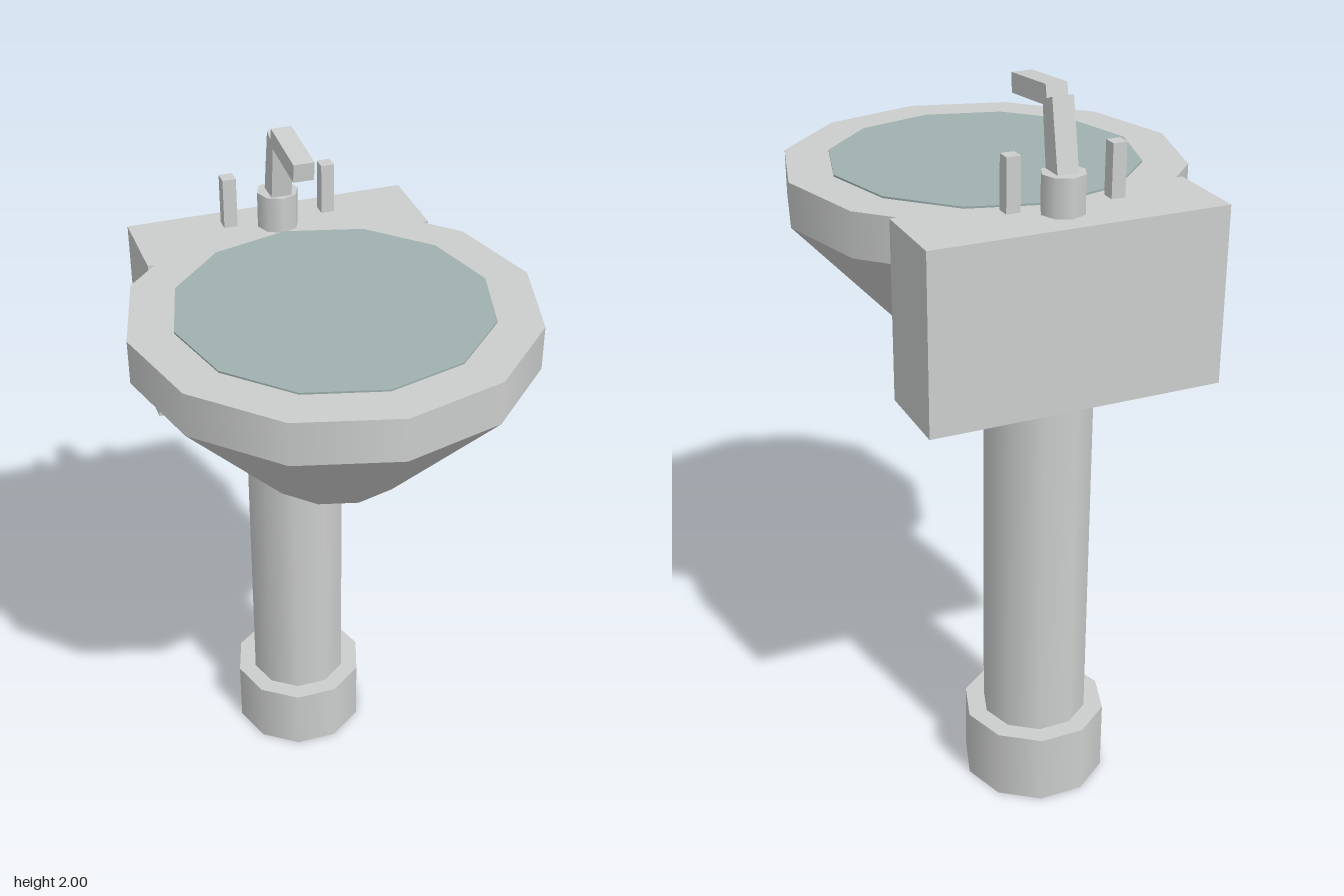
import * as THREE from 'three';

export function createModel() {
  const group = new THREE.Group();
  const ceramic = new THREE.MeshStandardMaterial({ color: 0xcccecd });
  ceramic.name = 'ceramicGrey';
  const water = new THREE.MeshStandardMaterial({ color: 0x9fb1af });
  water.name = 'waterBlueGrey';

  function add(name, geometry, x, y, z, material = ceramic) {
    const mesh = new THREE.Mesh(geometry, material);
    mesh.name = name;
    mesh.position.set(x, y, z);
    group.add(mesh);
    return mesh;
  }

  // Upright prism standing between two heights
  function drum(name, rTop, rBottom, y0, y1, z, sides, turn = 0, material = ceramic) {
    const geometry = new THREE.CylinderGeometry(rTop, rBottom, y1 - y0, sides);
    geometry.rotateY(turn);
    return add(name, geometry, 0, (y0 + y1) / 2, z, material);
  }

  // Bar with a side outline given as [z, y] points, centred on x
  function bar(name, points, width) {
    const shape = new THREE.Shape(points.map(([z, y]) => new THREE.Vector2(z, y)));
    const geometry = new THREE.ExtrudeGeometry(shape, { depth: width, bevelEnabled: false });
    geometry.translate(0, 0, -width / 2);
    geometry.rotateY(-Math.PI / 2);
    return add(name, geometry, 0, 0, 0);
  }

  // Pedestal
  drum('pedestalBase', 0.198, 0.198, 0, 0.2, -0.324, 10, Math.PI / 2);
  drum('pedestalColumn', 0.145, 0.145, 0.2, 1.225, -0.324, 10, Math.PI / 2);

  // Basin with its rim and water surface
  const basinZ = 0.027;
  drum('basinBowl', 0.533, 0.205, 1.225, 1.58, basinZ, 12);
  drum('basinRim', 0.533, 0.533, 1.58, 1.7, basinZ, 12);
  drum('waterSurface', 0.414, 0.414, 1.698, 1.705, basinZ, 12, 0, water);

  // Block behind the basin
  add('backBlock', new THREE.BoxGeometry(0.79, 0.475, 0.235), 0, 1.4625, -0.443);

  // Tap
  drum('tapBase', 0.057, 0.057, 1.7, 1.8, -0.446, 8);
  bar('tapPost', [[-0.472, 1.79], [-0.407, 1.79], [-0.383, 1.96], [-0.434, 1.979]], 0.056);
  bar('tapSpout', [[-0.21, 1.933], [-0.205, 1.983], [-0.398, 2], [-0.408, 1.951]], 0.056);

  // Handles on either side of the tap
  for (const side of [-1, 1]) {
    const name = side > 0 ? 'leftHandle' : 'rightHandle';
    add(name, new THREE.BoxGeometry(0.037, 0.138, 0.038), side * 0.138, 1.79, -0.446);
  }
  return group;
}
